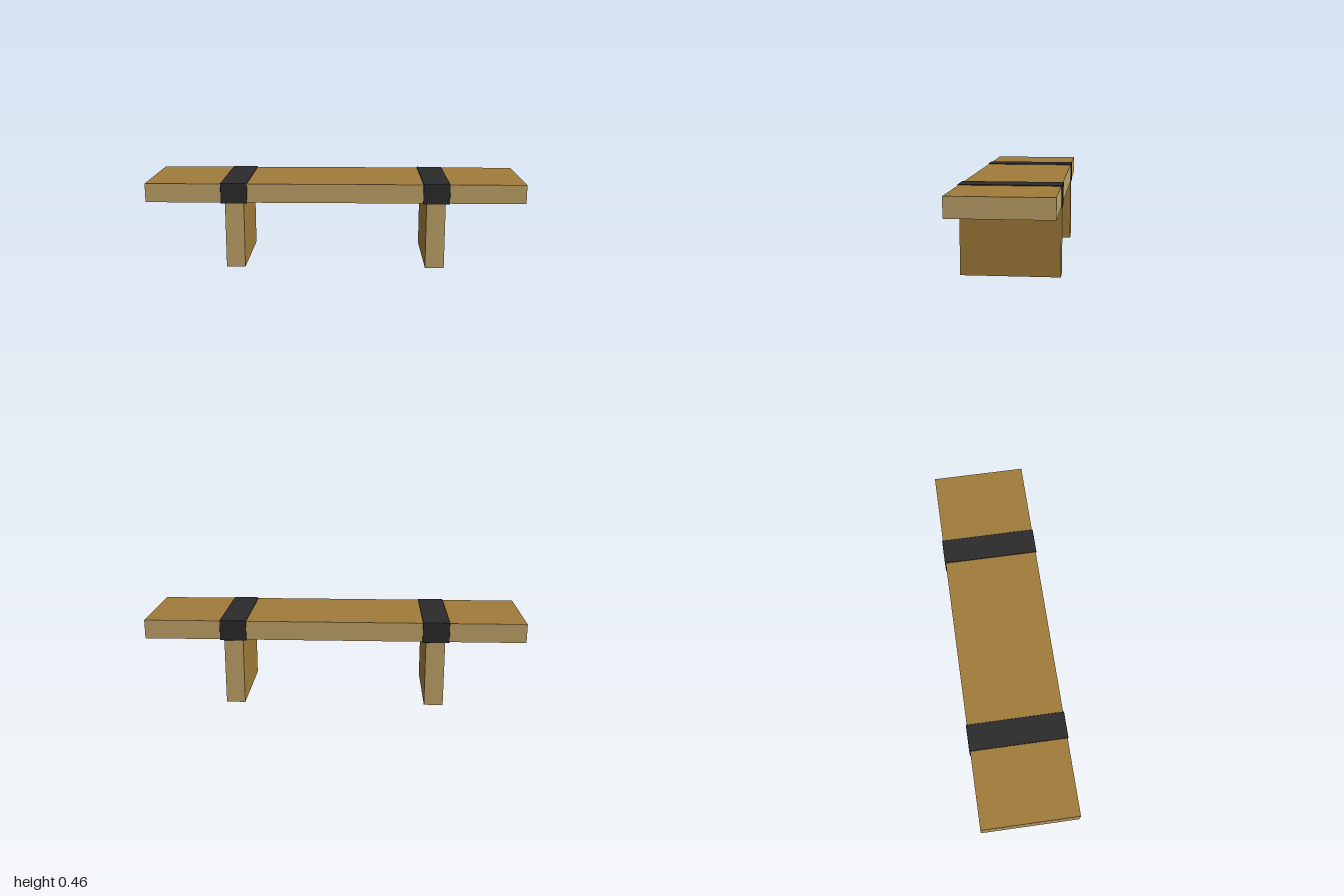
import * as THREE from 'three';
import { RoundedBoxGeometry } from 'three/addons/geometries/RoundedBoxGeometry.js';

const material = (name, color) => {
  const m = new THREE.MeshStandardMaterial({ color });
  m.name = name;
  return m;
};

export function createModel() {
  const face = material('wood face', 0xa07b3a);
  const edge = material('wood edge', 0xc1a46a);
  const black = material('black strap', 0x2b2b2b);

  const bench = new THREE.Group();
  bench.name = 'bench';

  const add = (name, geometry, mats, x, y) => {
    const mesh = new THREE.Mesh(geometry, mats);
    mesh.name = name;
    mesh.position.set(x, y, 0);
    bench.add(mesh);
  };

  // Material order on a box: +x, -x, +y, -y, +z, -z
  // Seat plank: dark broad faces, pale cut edges
  add('seat', new THREE.BoxGeometry(2, 0.1, 0.5),
    [edge, edge, face, face, edge, edge], 0, 0.402);

  for (const [side, s] of [['left', 1], ['right', -1]]) {
    // Upright plank leg
    add(side + 'Leg', new THREE.BoxGeometry(0.1, 0.352, 0.5),
      [face, face, edge, edge, edge, edge], s * 0.53, 0.176);
    // Strap wrapped around the seat above the leg
    add(side + 'Strap', new RoundedBoxGeometry(0.14, 0.109, 0.509, 2, 0.003),
      black, s * 0.532, 0.4015);
  }

  return bench;
}
